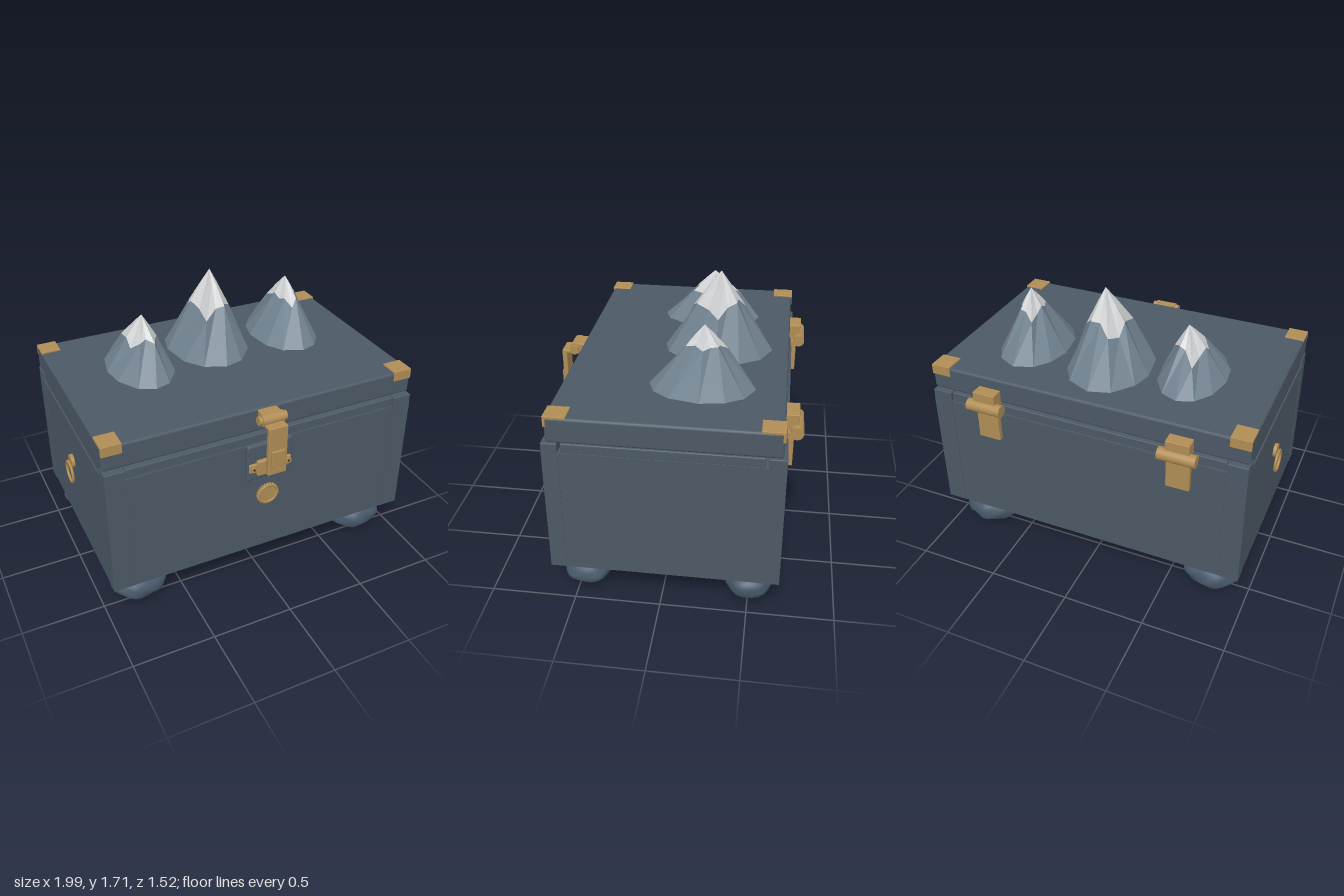
import * as THREE from 'three';
import { mergeVertices } from 'three/addons/utils/BufferGeometryUtils.js';
import { RoundedBoxGeometry } from 'three/addons/geometries/RoundedBoxGeometry.js';

const paint = (name, color) => {
  const m = new THREE.MeshStandardMaterial({ color });
  m.name = name;
  return m;
};

// Small seeded generator for the irregular rock
function seeded(seed) {
  let s = seed;
  return () => (s = (s * 16807) % 2147483647) / 2147483647;
}

export function createModel() {
  const slate = paint('slate', 0x4c5966);
  const stone = paint('footStone', 0x485a6c);
  const brass = paint('brass', 0xb08d55);
  const rock = paint('mountainRock', 0x718290);
  const snow = paint('snow', 0xd2d4d6);
  const dark = paint('darkHole', 0x2b3036);

  const model = new THREE.Group();
  model.name = 'chest';
  const CX = 0.015;

  const add = (name, geometry, material, parent = model) => {
    const mesh = new THREE.Mesh(geometry, material);
    mesh.name = name;
    parent.add(mesh);
    return mesh;
  };
  // Box from its minimum and maximum corners, with an optional bevel radius
  const box = (name, mat, [x0, y0, z0], [x1, y1, z1], r = 0, parent = model) => {
    const w = x1 - x0, h = y1 - y0, d = z1 - z0;
    const g = r ? new RoundedBoxGeometry(w, h, d, 2, r) : new THREE.BoxGeometry(w, h, d);
    add(name, g, mat, parent).position.set((x0 + x1) / 2, (y0 + y1) / 2, (z0 + z1) / 2);
  };
  const rod = (name, mat, axis, radius, length, [x, y, z], parent = model) => {
    const g = new THREE.CylinderGeometry(radius, radius, length, 32);
    if (axis === 'x') g.rotateZ(Math.PI / 2);
    if (axis === 'z') g.rotateX(Math.PI / 2);
    add(name, g, mat, parent).position.set(x, y, z);
  };

  // Body, plinth and rim
  box('body', slate, [-0.962, 0.22, -0.673], [0.992, 0.993, 0.627]);
  box('plinth', slate, [-0.885, 0.185, -0.585], [0.915, 0.23, 0.54]);
  box('frontPanel', slate, [-0.842, 0.225, 0.6], [0.872, 0.99, 0.63]);
  box('backPanel', slate, [-0.842, 0.225, -0.677], [0.872, 0.99, -0.65]);
  for (const [z0, z1, n] of [[0.54, 0.62, 'front'], [-0.665, -0.58, 'back']])
    box(n + 'Rim', slate, [-0.842, 0.99, z0], [0.872, 1.048, z1], 0.006);
  for (const [x0, x1] of [[-0.955, -0.87], [0.9, 0.985]])
    box('sideRim', slate, [x0, 0.99, -0.565], [x1, 1.048, 0.525], 0.006);

  // Corner posts with caps, lid corner brackets and feet
  const footSource = new THREE.IcosahedronGeometry(1, 4);
  footSource.deleteAttribute('normal');
  footSource.deleteAttribute('uv');
  const footBase = mergeVertices(footSource);
  const v = new THREE.Vector3();
  for (const sx of [-1, 1]) for (const sz of [-1, 1]) {
    const x0 = sx < 0 ? -0.965 : 0.875, x1 = x0 + 0.12;
    const pz = sz < 0 ? [-0.677, -0.58] : [0.54, 0.63];
    box('cornerPost', slate, [x0, 0.222, pz[0]], [x1, 0.993, pz[1]]);
    box('postCap', slate, [x0, 0.993, pz[0]], [x1, 1.05, pz[1]], 0.005);

    const bz = sz < 0 ? [-0.66, -0.535] : [0.483, 0.606];
    box('bracketTop', brass, [x0, 1.2, bz[0]], [x1, 1.216, bz[1]], 0.003);
    const fz = sz < 0 ? [-0.661, -0.645] : [0.591, 0.607];
    box('bracketFlap', brass, [x0, 1.152, fz[0]], [x1, 1.216, fz[1]], 0.003);

    const g = footBase.clone(), p = g.attributes.position;
    const k = sx * 1.3 + sz * 2.1;
    for (let i = 0; i < p.count; i++) {
      v.fromBufferAttribute(p, i);
      const bump = 1 + 0.05 * Math.sin(5 * v.x + k) * Math.cos(4 * v.z - k) + 0.03 * Math.sin(9 * v.y + 7 * v.x + k);
      // Squash towards a boulder with full shoulders
      const y = Math.sign(v.y) * Math.pow(Math.abs(v.y), 0.9);
      p.setXYZ(i, v.x * 0.174 * bump, Math.max(-0.105, y * 0.1 * bump), v.z * 0.147 * bump);
    }
    g.computeVertexNormals();
    add('foot', g, stone).position.set(CX + sx * 0.772, 0.105, sz < 0 ? -0.503 : 0.455);
  }

  // Lid
  box('lid', slate, [-0.965, 1.056, -0.656], [0.995, 1.208, 0.603], 0.016);

  // Mountains: centre, base radii, apex, snow line
  const mountain = (cx, cz, rx, rz, apex, snowY, seed) => {
    const group = new THREE.Group();
    group.name = 'mountain';
    model.add(group);
    const rnd = seeded(seed), n = 12, baseY = 1.2;
    const tip = new THREE.Vector3(...apex);
    const ridges = Array.from({ length: n }, (_, i) => ({
      a: ((i + 0.25 * rnd()) / n) * Math.PI * 2,
      s: i % 2 ? 0.82 + 0.1 * rnd() : 1.06 + 0.12 * rnd(),
      y: snowY + (rnd() - 0.5) * 0.09,
    }));
    const point = (r, y, notch) => {
      const t = (y - baseY) / (tip.y - baseY);
      const k = (1 - t) * (1 + notch * (r.s - 1));
      return new THREE.Vector3(
        THREE.MathUtils.lerp(cx, tip.x, t) + Math.cos(r.a) * rx * k, y,
        THREE.MathUtils.lerp(cz, tip.z, t) + Math.sin(r.a) * rz * k);
    };
    const foot = ridges.map(r => point(r, baseY, 0));
    const line = ridges.map(r => point(r, r.y, 1));
    const high = ridges.map(r => point(r, tip.y - (tip.y - snowY) * 0.4, 1.4));
    const skin = (name, mat, low, up) => {
      const pts = [];
      for (let i = 0; i < n; i++) {
        const j = (i + 1) % n;
        pts.push(low[i], up[i], low[j]);
        if (up[i] !== up[j]) pts.push(up[i], up[j], low[j]);
      }
      const g = new THREE.BufferGeometry().setFromPoints(pts);
      g.computeVertexNormals();
      add(name, g, mat, group);
    };
    skin('rockSlope', rock, foot, line);
    skin('snowSlope', snow, line, high);
    skin('snowPeak', snow, high, Array(n).fill(tip));
  };
  mountain(-0.468, -0.143, 0.205, 0.313, [-0.43, 1.535, -0.16], 1.4, 11);
  mountain(0.018, -0.23, 0.255, 0.33, [0.048, 1.71, -0.237], 1.49, 57);
  mountain(0.535, -0.185, 0.212, 0.305, [0.555, 1.59, -0.195], 1.44, 91);

  // Front clasp
  const clasp = new THREE.Group();
  clasp.name = 'clasp';
  model.add(clasp);
  box('claspPlate', slate, [-0.133, 0.762, 0.62], [0.162, 1.003, 0.658], 0.014, clasp);
  box('lidMount', brass, [-0.045, 1.13, 0.59], [0.075, 1.2, 0.65], 0.006, clasp);
  rod('claspPin', brass, 'x', 0.035, 0.135, [CX, 1.165, 0.66], clasp);
  rod('claspPinEnds', brass, 'x', 0.027, 0.175, [CX, 1.165, 0.66], clasp);
  box('strapTop', brass, [-0.045, 1.13, 0.66], [0.075, 1.152, 0.745], 0.006, clasp);
  box('strap', brass, [-0.045, 0.835, 0.715], [0.075, 1.152, 0.745], 0.006, clasp);
  box('strapButton', brass, [-0.028, 0.9, 0.74], [0.056, 1.0, 0.757], 0.004, clasp);
  box('catch', brass, [-0.075, 0.8, 0.65], [0.105, 0.9, 0.682], 0.008, clasp);
  box('catchEars', brass, [-0.122, 0.82, 0.65], [0.15, 0.882, 0.672], 0.01, clasp);
  for (const s of [-1, 1]) {
    rod('screw', brass, 'z', 0.019, 0.012, [CX + s * 0.112, 0.851, 0.674], clasp);
    rod('screwHole', dark, 'z', 0.007, 0.004, [CX + s * 0.112, 0.851, 0.6805], clasp);
  }

  // Round lock button with a raised rim
  rod('lockDisc', brass, 'z', 0.06, 0.03, [CX, 0.625, 0.636]);
  add('lockRim', new THREE.TorusGeometry(0.06, 0.009, 10, 40), brass).position.set(CX, 0.625, 0.647);
  for (let i = 0; i < 24; i++) {
    const a = (i / 24) * Math.PI * 2;
    rod('lockKnurl', brass, 'z', 0.004, 0.02, [CX + Math.cos(a) * 0.067, 0.625 + Math.sin(a) * 0.067, 0.643]);
  }

  // Back hinges
  for (const x of [-0.58, 0.61]) {
    const hinge = new THREE.Group();
    hinge.name = 'hinge';
    model.add(hinge);
    box('upperLeaf', brass, [x - 0.07, 1.05, -0.73], [x + 0.07, 1.14, -0.645], 0.004, hinge);
    box('lowerLeaf', brass, [x - 0.07, 0.815, -0.706], [x + 0.07, 1.03, -0.67], 0.004, hinge);
    rod('knuckle', brass, 'x', 0.037, 0.22, [x, 1.045, -0.721], hinge);
  }

  // Ring pull on the right side
  rod('ringBoss', brass, 'x', 0.042, 0.022, [-0.971, 0.725, -0.03]);
  const ring = add('ringPull', new THREE.TorusGeometry(0.066, 0.0085, 10, 40), brass);
  ring.rotation.y = Math.PI / 2;
  ring.position.set(-0.99, 0.65, -0.03);

  return model;
}
